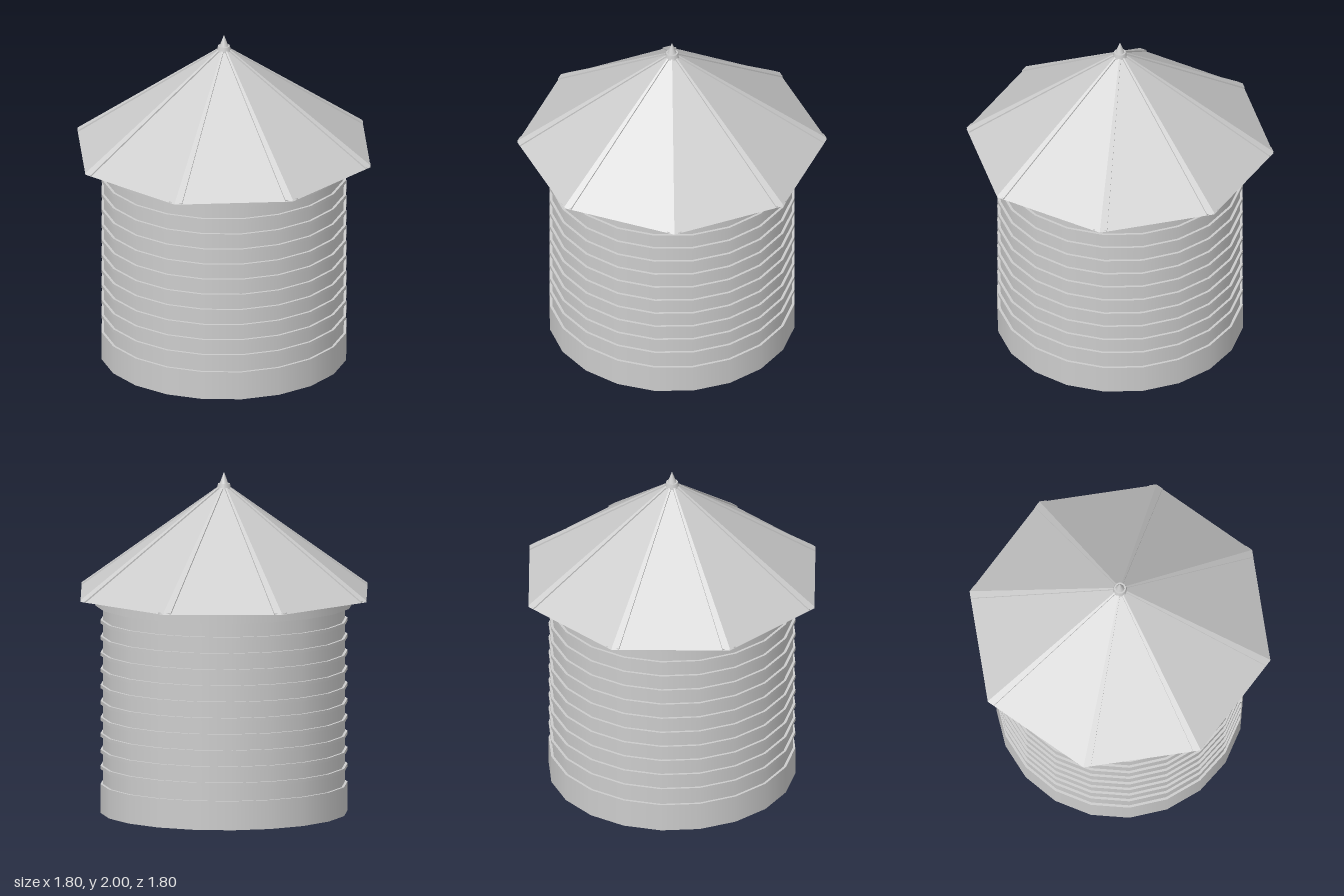
import * as THREE from 'three';

const EAVE_Y = 1.285, EAVE_R = 0.9, TOP_Y = 1.91, TOP_R = 0.025;

// Give every triangle its own normal so panels look faceted
function faceted(geometry) {
  const g = geometry.index ? geometry.toNonIndexed() : geometry;
  g.computeVertexNormals();
  return g;
}

// Thin tapered strip folded over a roof corner, running up towards +y from the +z eave
function ribGeometry() {
  const section = (r, y, half, lift) => {
    const side = r - half * Math.tan(Math.PI / 8);
    return [[-half, y, side], [-half, y + lift, side], [0, y + lift, r], [half, y + lift, side], [half, y, side]];
  };
  const low = section(EAVE_R, EAVE_Y, 0.04, 0.01);
  const high = section(TOP_R, TOP_Y, 0.008, 0.01);
  const points = [];
  for (let i = 0; i < 4; i++) {
    points.push(...low[i], ...low[i + 1], ...high[i + 1]);
    points.push(...low[i], ...high[i + 1], ...high[i]);
  }
  // Eave end of the strip
  for (const [a, b, c] of [[0, 4, 3], [0, 3, 1], [1, 3, 2]]) points.push(...low[a], ...low[b], ...low[c]);
  const g = new THREE.BufferGeometry();
  g.setAttribute('position', new THREE.Float32BufferAttribute(points, 3));
  return faceted(g);
}

export function createModel() {
  const model = new THREE.Group();
  model.name = 'silo';
  const metal = new THREE.MeshStandardMaterial({ color: 0xcccccc });
  metal.name = 'galvanised grey';

  const add = (name, geometry) => {
    const mesh = new THREE.Mesh(geometry, metal);
    mesh.name = name;
    model.add(mesh);
    return mesh;
  };
  // Twenty-sided drum between two heights
  const drum = (name, radius, y0, y1) => {
    add(name, new THREE.CylinderGeometry(radius, radius, y1 - y0, 20)).position.y = (y0 + y1) / 2;
  };

  // Tank wall, plinth and collar under the roof
  drum('wall', 0.705, 0.1, 1.25);
  drum('base', 0.72, 0, 0.17);
  drum('collar', 0.75, 1.22, EAVE_Y - 0.001);

  // Hoops around the wall
  for (let i = 0; i < 10; i++) {
    const y = 0.268 + i * 0.0952;
    drum('hoop', 0.72, y - 0.01, y + 0.01);
  }

  // Eight-sided roof with a strip over each corner
  add('roof', faceted(new THREE.CylinderGeometry(TOP_R, EAVE_R, TOP_Y - EAVE_Y, 8)))
    .position.y = (TOP_Y + EAVE_Y) / 2;
  const rib = ribGeometry();
  for (let i = 0; i < 8; i++) add('roofRib', rib).rotation.y = i * Math.PI / 4;

  // Finial: small cap and spike
  const cap = add('finialCap', new THREE.CylinderGeometry(0.035, 0.042, 0.03, 12));
  cap.position.y = 1.916;
  const spike = add('finialSpike', new THREE.ConeGeometry(0.026, 0.07, 12));
  spike.position.y = 1.965;

  return model;
}
